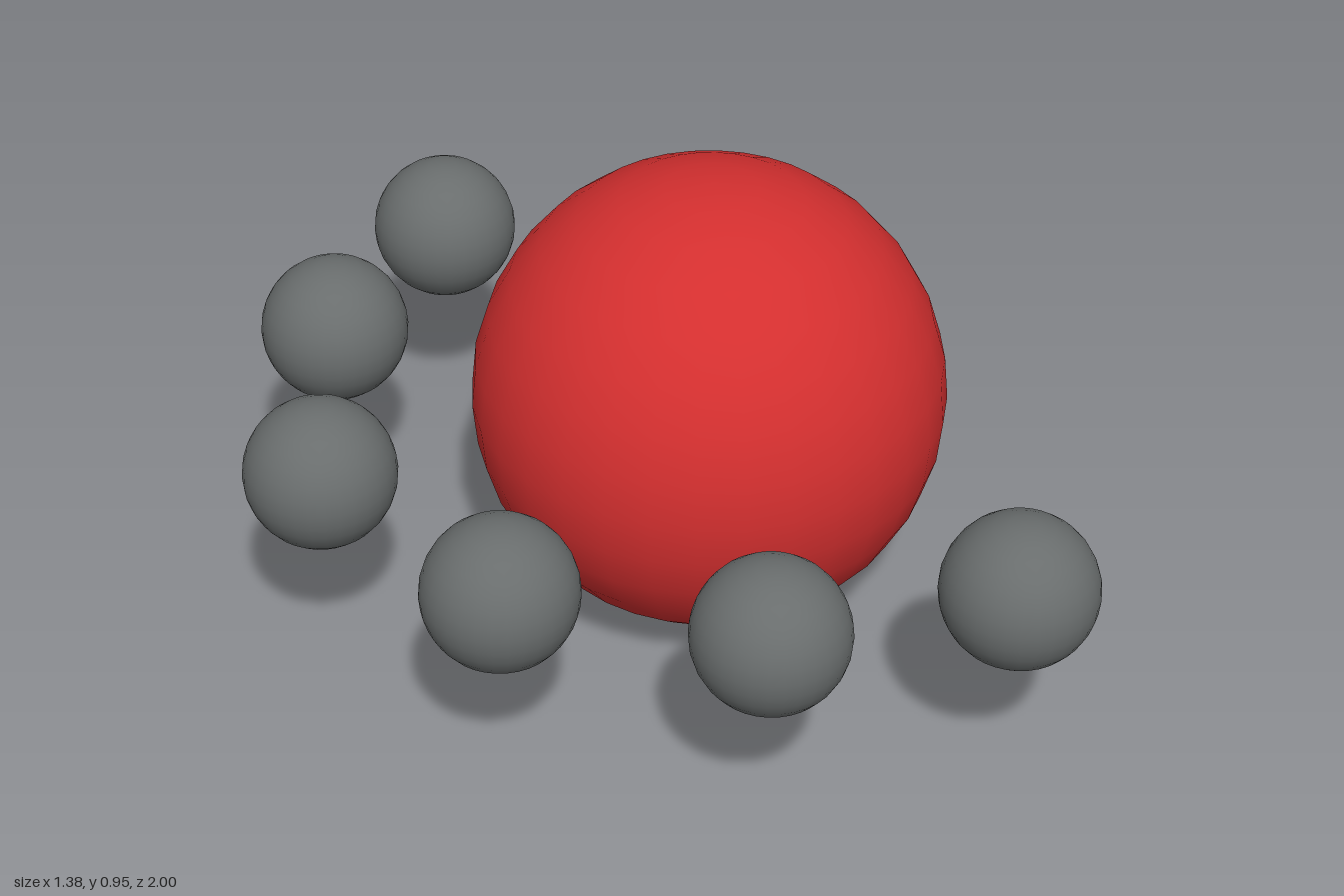
import * as THREE from 'three';

export function createModel() {
  const model = new THREE.Group();
  const red = new THREE.MeshStandardMaterial({ color: 0xd32f2f });
  red.name = 'red';
  const grey = new THREE.MeshStandardMaterial({ color: 0x696d6d });
  grey.name = 'grey';
  const midHeight = 0.48;

  // Large central ball
  const core = new THREE.Mesh(new THREE.SphereGeometry(0.476, 32, 16), red);
  core.name = 'centralBall';
  core.position.set(0.215, midHeight, -0.015);
  model.add(core);

  // Half ring of small balls around it, as [x, z]
  const ring = new THREE.Group();
  ring.name = 'ballRing';
  const ballGeometry = new THREE.SphereGeometry(0.151, 32, 16);
  const spots = [
    [0.205, -0.849], [-0.213, -0.688], [-0.542, -0.3],
    [-0.52, 0.22], [-0.23, 0.64], [0.205, 0.846],
  ];
  spots.forEach(([x, z], i) => {
    const ball = new THREE.Mesh(ballGeometry, grey);
    ball.name = `smallBall${i + 1}`;
    ball.position.set(x, midHeight, z);
    ring.add(ball);
  });
  model.add(ring);

  return model;
}
